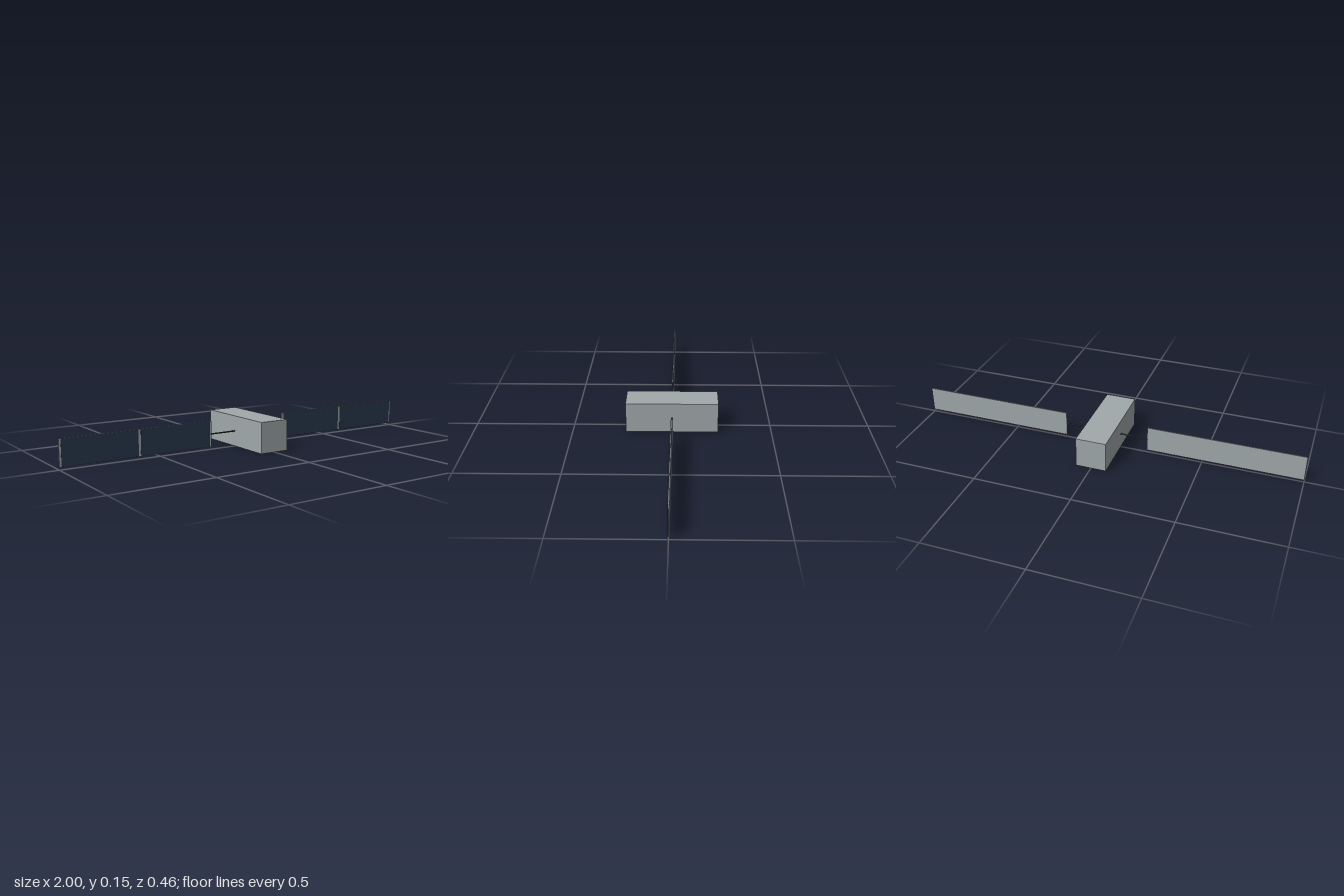
import * as THREE from 'three';

export function createModel() {
  const group = new THREE.Group();
  const hull = new THREE.MeshStandardMaterial({ color: 0xa0a8aa });
  const cell = new THREE.MeshStandardMaterial({ color: 0x2a3a4e });
  const dark = new THREE.MeshStandardMaterial({ color: 0x3a3e42 });
  hull.name = 'hullGrey';
  cell.name = 'cellBlue';
  dark.name = 'boomDark';

  const midY = 0.077;
  const add = (parent, name, geometry, material, x, y, z) => {
    const mesh = new THREE.Mesh(geometry, material);
    mesh.name = name;
    mesh.position.set(x, y, z);
    parent.add(mesh);
    return mesh;
  };

  // Long box body
  add(group, 'body', new THREE.BoxGeometry(0.154, 0.154, 0.462), hull, 0, midY, 0);

  // A boom and a solar wing on each side
  for (const side of [1, -1]) {
    const wing = new THREE.Group();
    wing.name = side > 0 ? 'leftWing' : 'rightWing';
    group.add(wing);

    const boom = new THREE.CylinderGeometry(0.0035, 0.0035, 0.15, 12).rotateZ(Math.PI / 2);
    add(wing, 'boom', boom, dark, side * 0.146, midY, 0);
    add(wing, 'panelFrame', new THREE.BoxGeometry(0.784, 0.13, 0.005), hull, side * 0.608, midY, 0);

    // Two cell plates on the front face, with narrow gaps between and beside them
    for (const x of [0.414, 0.802]) {
      add(wing, 'solarCells', new THREE.BoxGeometry(0.376, 0.126, 0.001), cell, side * x, midY, 0.003);
    }
  }
  return group;
}
